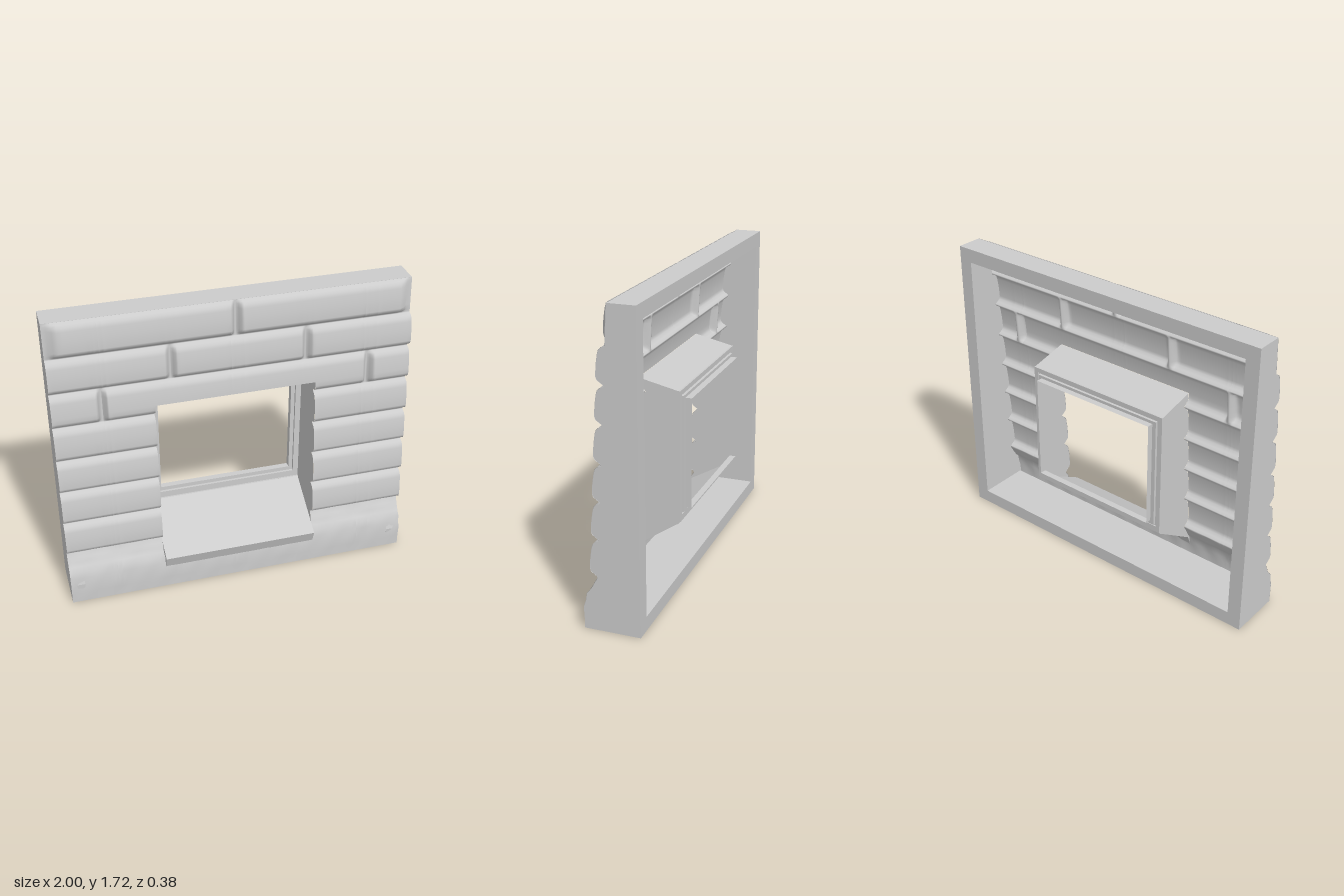
import * as THREE from 'three';

const material = new THREE.MeshStandardMaterial({ color: 0xcccccc, side: THREE.DoubleSide });

// Wall layout: courses of blocks leaning back as they rise
const TOP = 1.72, BACK = -0.14, RIM = 0.08;
const HOLE = { x: 0.45, low: 0.2, high: 1.19 };
const courses = [0.3, 0.505, 0.71, 0.91, 1.115, 1.315, 1.515, TOP];
const joints = { 4: [-0.73, 0.76], 5: [-0.35, 0.4], 6: [0.01] };

// [height within the course, bulge in front of the groove]
const block = [[0, 0], [0.04, 0.002], [0.09, 0.018], [0.15, 0.035], [0.24, 0.042], [0.55, 0.041],
  [0.8, 0.036], [0.9, 0.031], [0.96, 0.018], [1, 0]];
// [y, z] of the plinth below the courses
const plinth = [[0, 0.168], [0.06, 0.168], [0.12, 0.167], [0.16, 0.158], [0.2, 0.152], [0.225, 0.132],
  [0.25, 0.118], [0.275, 0.106], [0.3, 0.09]];

function lerpTable(table, t) {
  let i = 1;
  while (i < table.length - 1 && t > table[i][0]) i++;
  const [a, b] = [table[i - 1], table[i]];
  return THREE.MathUtils.mapLinear(t, a[0], b[0], a[1], b[1]);
}

// Depth of the front face at any point
function wallZ(x, y) {
  if (y <= 0.3) {
    const worn = Math.sin(x * 31 + y * 17) * Math.sin(x * 13 - y * 43);
    return lerpTable(plinth, y) + 0.003 * worn * Math.min(1, y * 10);
  }
  let k = 0;
  while (k < courses.length - 2 && y > courses[k + 1]) k++;
  let bulge = lerpTable(block, (y - courses[k]) / (courses[k + 1] - courses[k]));
  for (const j of joints[k] || []) {
    bulge *= THREE.MathUtils.smoothstep(Math.abs(x - j), 0.003, 0.032);
  }
  if (k === 6) bulge *= 1 - THREE.MathUtils.smoothstep(Math.abs(x), 0.93, 0.985);
  return 0.09 - 0.058 * (y - 0.3) + bulge;
}

const sortedUnique = (list) => [...new Set(list.map((v) => +v.toFixed(4)))].sort((a, b) => a - b);

function wallRows() {
  const ys = plinth.map((p) => p[0]);
  for (let k = 0; k < courses.length - 1; k++) {
    for (const [t] of block) ys.push(courses[k] + t * (courses[k + 1] - courses[k]));
  }
  return sortedUnique([...ys, HOLE.low, HOLE.high]);
}

// Surface through rows of points; skip(i, j) leaves a cell open
function surface(rows, skip = () => false, smooth = true) {
  const n = rows[0].length, index = [];
  for (let j = 0; j < rows.length - 1; j++) {
    for (let i = 0; i < n - 1; i++) {
      if (skip(i, j)) continue;
      const a = j * n + i;
      index.push(a, a + 1, a + n + 1, a, a + n + 1, a + n);
    }
  }
  let g = new THREE.BufferGeometry();
  g.setAttribute('position', new THREE.Float32BufferAttribute(rows.flat(2), 3));
  g.setIndex(index);
  if (!smooth) g = g.toNonIndexed();
  g.computeVertexNormals();
  return g;
}

// Solid with a side outline of [z, y] points, spanning x0 to x1
function sideSolid(points, x0, x1) {
  const shape = new THREE.Shape(points.map(([z, y]) => new THREE.Vector2(z, y)));
  const g = new THREE.ExtrudeGeometry(shape, { depth: x1 - x0, bevelEnabled: false });
  return g.rotateY(-Math.PI / 2).translate(x1, 0, 0);
}

export function createModel() {
  const model = new THREE.Group();
  const add = (name, geometry) => {
    const mesh = new THREE.Mesh(geometry, material);
    mesh.name = name;
    model.add(mesh);
    return mesh;
  };
  const ys = wallRows();

  // Front skin of stone courses, open at the window
  const xs = [-HOLE.x, HOLE.x];
  for (let i = 0; i <= 80; i++) xs.push(-1 + i / 40);
  for (const j of Object.values(joints).flat()) {
    for (const d of [-0.034, -0.025, -0.015, -0.006, 0, 0.006, 0.015, 0.025, 0.034]) xs.push(j + d);
  }
  const cols = sortedUnique(xs);
  const inHole = (i, j) => {
    const x = (cols[i] + cols[i + 1]) / 2, y = (ys[j] + ys[j + 1]) / 2;
    return Math.abs(x) < HOLE.x && y > HOLE.low && y < HOLE.high;
  };
  add('stoneFront', surface(ys.map((y) => cols.map((x) => [x, y, wallZ(x, y) + 0.002])), inHole));

  // Frame around the hollow back
  for (const side of [-1, 1]) {
    const edge = ys.map((y) => [wallZ(side, y), y]);
    const outline = [[BACK, 0], ...edge, [BACK, TOP]];
    const [x0, x1] = side < 0 ? [-1, -1 + RIM] : [1 - RIM, 1];
    add(side < 0 ? 'rightEdge' : 'leftEdge', sideSolid(outline, x0, x1));
  }
  const inner = 1 - RIM;
  add('topEdge', sideSolid([[BACK, TOP - RIM], [0.008, TOP - RIM], [0.008, TOP], [BACK, TOP]], -inner, inner));
  add('bottomEdge', sideSolid([[BACK, 0], [0.167, 0], [0.163, RIM], [BACK, RIM]], -inner, inner));

  // Window reveal: side cheeks following the courses, and a sloping soffit
  const cheek = ys.filter((y) => y >= 0.225 && y <= HOLE.high).map((y) => [wallZ(HOLE.x, y), y]);
  const cheekShape = new THREE.Shape([[BACK, 0.39], ...cheek, [BACK, 1.14]].map((p) => new THREE.Vector2(...p)));
  for (const side of [-1, 1]) {
    const g = new THREE.ShapeGeometry(cheekShape).rotateY(-Math.PI / 2).translate(side * HOLE.x, 0, 0);
    add(side < 0 ? 'rightReveal' : 'leftReveal', g);
  }
  const front = wallZ(0, HOLE.high);
  add('soffit', surface([
    [[-HOLE.x, 1.14, BACK], [HOLE.x, 1.14, BACK]],
    [[-HOLE.x, HOLE.high, front], [HOLE.x, HOLE.high, front]],
  ], undefined, false));

  // Sloping sill with a projecting nose
  add('sill', sideSolid([[BACK, 0.4], [0.19, 0.212], [0.165, 0.14], [0.14, 0.2], [BACK, 0.39]], -0.447, 0.447));

  // Stepped window frame: rectangles [half width, low, high, z]
  const steps = [[0.45, 0.4, 1.14, -0.14], [0.45, 0.4, 1.14, -0.15], [0.425, 0.435, 1.115, -0.15],
    [0.425, 0.435, 1.115, -0.142], [0.415, 0.445, 1.105, -0.142], [0.415, 0.445, 1.105, -0.157],
    [0.392, 0.468, 1.088, -0.157], [0.392, 0.468, 1.088, -0.193]];
  add('windowFrame', surface(steps.map(([w, a, b, z]) =>
    [[-w, a, z], [w, a, z], [w, b, z], [-w, b, z], [-w, a, z]]), undefined, false));

  return model;
}
